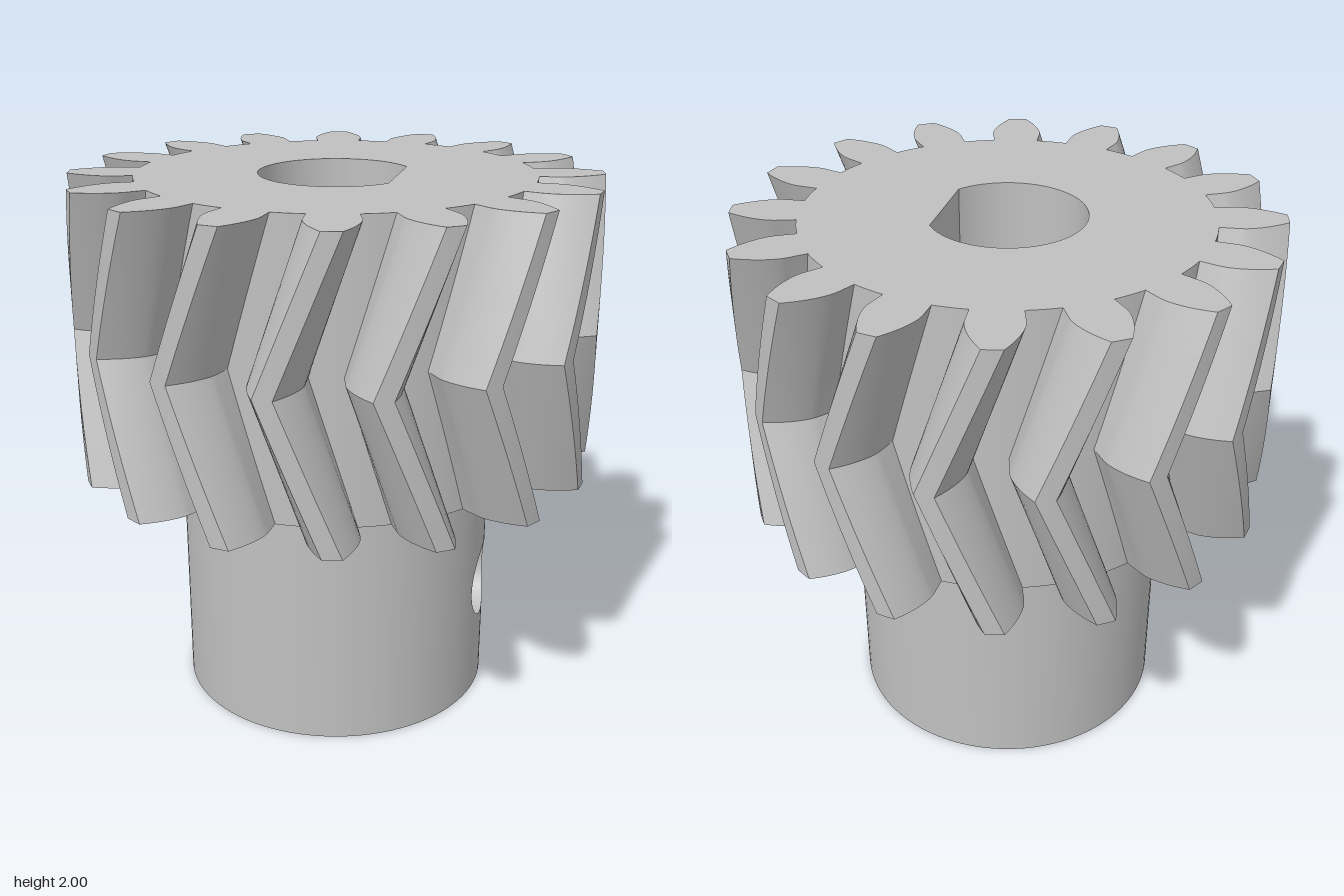
import * as THREE from 'three';
import { mergeGeometries } from 'three/addons/utils/BufferGeometryUtils.js';
import { ParametricGeometry } from 'three/addons/geometries/ParametricGeometry.js';

// Overall sizes
const TEETH = 16, STEP = (2 * Math.PI) / TEETH;
const TIP = 0.966, PITCH = 0.859, ROOT = 0.725;
const TOP = 2, MID = 1.465, LOW = 0.93;
const HUB = 0.592, BORE = 0.282, FLAT = 0.228;
const SCREW = 0.146, SCREW_Y = 0.433;

// Involute tooth: half its angular width at radius r
const PRESSURE = THREE.MathUtils.degToRad(21.17);
const BASE = PITCH * Math.cos(PRESSURE);
const inv = (a) => Math.tan(a) - a;
const halfAngle = (r) => STEP / 4 + inv(PRESSURE) - inv(Math.acos(Math.min(1, BASE / r)));

// Double helix: the teeth sweep away from the middle, both up and down
const twist = (y) => (Math.abs(y - MID) * Math.tan(Math.PI / 9)) / PITCH;

// The four stretches of one tooth's outline, as [radius, angle] for u in 0..1
const lerp = THREE.MathUtils.lerp;
const hRoot = halfAngle(ROOT), hTip = halfAngle(TIP);
const outline = [
  { n: 10, at: (u) => { const r = lerp(ROOT, TIP, u); return [r, -halfAngle(r)]; } },
  { n: 2, at: (u) => [TIP, lerp(-hTip, hTip, u)] },
  { n: 10, at: (u) => { const r = lerp(TIP, ROOT, u); return [r, halfAngle(r)]; } },
  { n: 4, at: (u) => [ROOT, lerp(hRoot, STEP - hRoot, u)] },
];

const surface = (fn, nu, nv) =>
  new ParametricGeometry((u, v, p) => p.set(...fn(u, v)), nu, nv);

// One tooth with the gap next to it, in two halves meeting at a sharp chevron
function toothGeometry() {
  const strips = [];
  for (const [y0, y1] of [[LOW, MID], [MID, TOP]]) {
    for (const { n, at } of outline) {
      strips.push(surface((u, v) => {
        const [r, a] = at(u), y = lerp(y0, y1, v), phi = a + twist(y);
        return [r * Math.sin(phi), y, r * Math.cos(phi)];
      }, n, 8));
    }
  }
  return mergeGeometries(strips);
}

// Outlines of the flat faces, as [x, z] points
function gearOutline() {
  const pts = [];
  for (let k = 0; k < TEETH; k++) {
    for (const { n, at } of outline) {
      for (let i = 0; i < n; i++) {
        const [r, a] = at(i / n), phi = a + k * STEP + twist(TOP);
        pts.push([r * Math.sin(phi), r * Math.cos(phi)]);
      }
    }
  }
  return pts;
}
function arcOutline(radius, start, n) {
  const pts = [];
  for (let i = 0; i <= n; i++) {
    const a = lerp(start, 2 * Math.PI - start, i / n);
    pts.push([radius * Math.cos(a), radius * Math.sin(a)]);
  }
  if (start === 0) pts.pop();
  return pts;
}

// Flat horizontal face with a hole, facing up (+1) or down (-1)
function faceGeometry(outer, hole, y, facing) {
  const toVec = ([x, z]) => new THREE.Vector2(x, -facing * z);
  const shape = new THREE.Shape(outer.map(toVec));
  shape.holes.push(new THREE.Path(hole.map(toVec)));
  return new THREE.ShapeGeometry(shape).rotateX((-facing * Math.PI) / 2).translate(0, y, 0);
}

export function createModel() {
  const model = new THREE.Group();
  const metal = new THREE.MeshStandardMaterial({ color: 0xc0c0c0 });
  metal.name = 'grey metal';
  const add = (name, geometry, parent = model) => {
    const mesh = new THREE.Mesh(geometry, metal);
    mesh.name = name;
    parent.add(mesh);
    return mesh;
  };

  const flatStart = Math.acos(FLAT / BORE);
  const boreOutline = arcOutline(BORE, flatStart, 72);
  const hubOutline = arcOutline(HUB, 0, 96);

  // Herringbone teeth
  const teeth = new THREE.Group();
  teeth.name = 'teeth';
  model.add(teeth);
  const tooth = toothGeometry();
  for (let k = 0; k < TEETH; k++) add('tooth', tooth, teeth).rotation.y = k * STEP;

  // Flat faces
  add('gearTopFace', faceGeometry(gearOutline(), boreOutline, TOP, 1));
  add('gearBottomFace', faceGeometry(gearOutline(), hubOutline, LOW, -1));
  add('hubBottomFace', faceGeometry(hubOutline, boreOutline, 0, -1));

  // Hub wall, with a patch around the screw hole on the +x side
  const PATCH = 0.5;
  const onHub = (a, y) => [HUB * Math.cos(a), y, -HUB * Math.sin(a)];
  add('hubWall', surface((u, v) => onHub(lerp(PATCH, 2 * Math.PI - PATCH, u), v * LOW), 80, 1));
  add('hubWallAroundScrewHole', surface((s, v) => {
    const c = Math.cos(v * 2 * Math.PI), d = Math.sin(v * 2 * Math.PI);
    const m = Math.max(Math.abs(c), Math.abs(d));
    const a = lerp(Math.asin((SCREW * c) / HUB), (PATCH * c) / m, s);
    const y = lerp(SCREW_Y + SCREW * d, (LOW / 2) * (1 + d / m), s);
    return onHub(a, y);
  }, 10, 64));

  // Screw hole from the hub wall to the flat of the bore
  add('screwHole', surface((u, v) => {
    const z = -SCREW * Math.cos(v * 2 * Math.PI);
    const x = lerp(FLAT, Math.sqrt(HUB * HUB - z * z), u);
    return [x, SCREW_Y + SCREW * Math.sin(v * 2 * Math.PI), z];
  }, 1, 64));

  // D-shaped bore: round wall and pierced flat
  add('boreWall', surface((u, v) => {
    const a = lerp(flatStart, 2 * Math.PI - flatStart, u);
    return [BORE * Math.cos(a), v * TOP, BORE * Math.sin(a)];
  }, 72, 1));
  const w = BORE * Math.sin(flatStart);
  const flat = new THREE.Shape([[-w, 0], [w, 0], [w, TOP], [-w, TOP]].map((p) => new THREE.Vector2(...p)));
  flat.holes.push(new THREE.Path().absarc(0, SCREW_Y, SCREW, 0, 2 * Math.PI, true));
  add('boreFlat', new THREE.ShapeGeometry(flat, 32).rotateY(-Math.PI / 2).translate(FLAT, 0, 0));

  return model;
}
